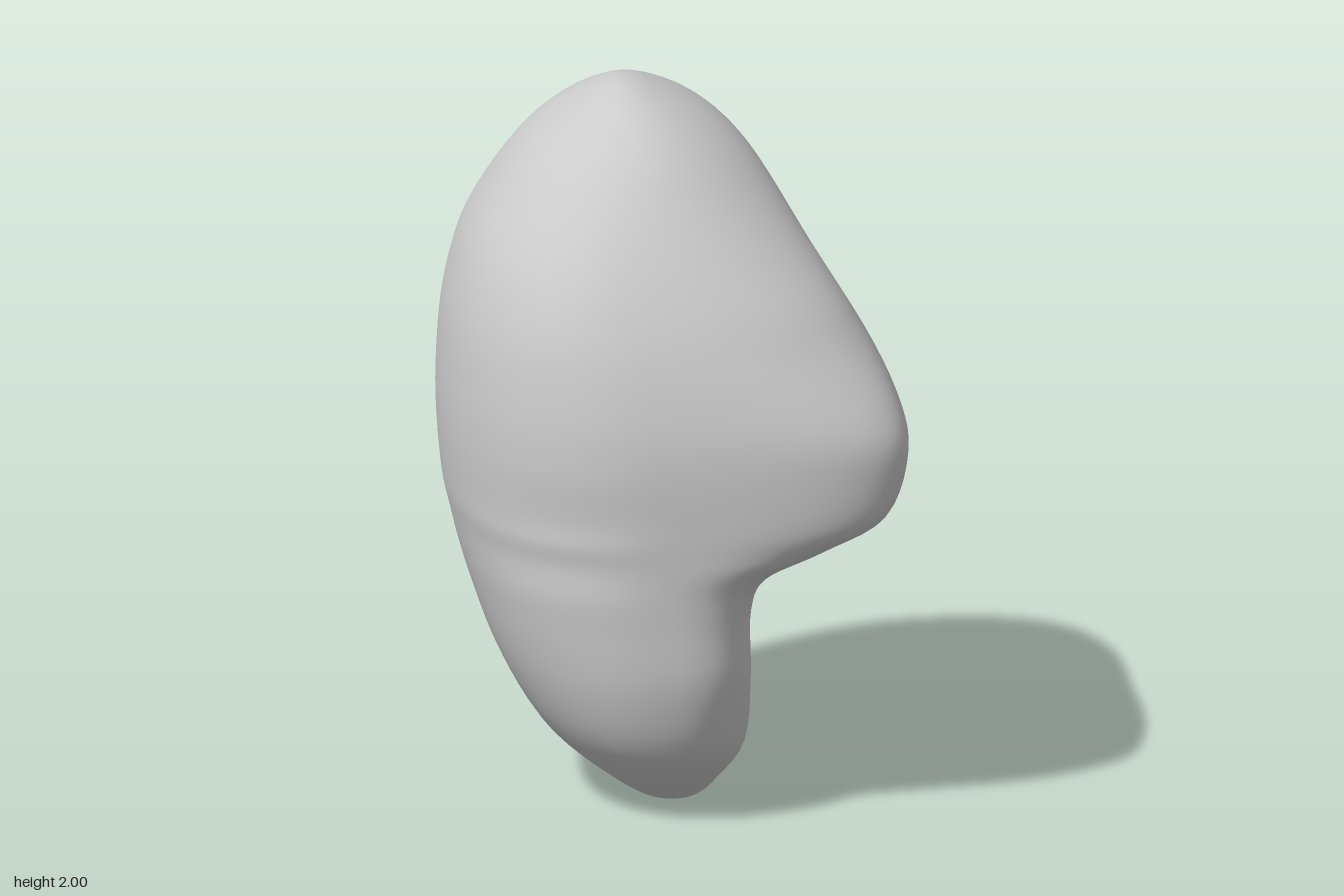
import * as THREE from 'three';
import { mergeVertices } from 'three/addons/utils/BufferGeometryUtils.js';

// Extents of each horizontal section: y, min x, max x, min z, max z
const EXTENTS = [
  [0, 0.02, 0.02, 0.18, 0.18],
  [0.012, -0.06, 0.07, 0.0, 0.29],
  [0.05, -0.16, 0.125, -0.2, 0.4],
  [0.2, -0.35, 0.2, -0.45, 0.57],
  [0.4, -0.48, 0.212, -0.545, 0.645],
  [0.6, -0.56, 0.212, -0.6, 0.66],
  [0.71, -0.595, 0.26, -0.62, 0.665],
  [0.79, -0.615, 0.43, -0.63, 0.67],
  [0.88, -0.635, 0.59, -0.645, 0.675],
  [1.05, -0.65, 0.65, -0.665, 0.68],
  [1.2, -0.65, 0.62, -0.68, 0.665],
  [1.4, -0.63, 0.51, -0.67, 0.61],
  [1.6, -0.57, 0.37, -0.62, 0.51],
  [1.8, -0.44, 0.225, -0.5, 0.36],
  [1.91, -0.32, 0.1, -0.38, 0.23],
  [1.98, -0.2, -0.04, -0.2, 0.08],
  [2, -0.13, -0.13, -0.06, -0.06],
];

// Where each extreme sits, as a fraction of the section, and its roundness:
// y, x of back, z of left edge, z of right edge, x of front, back-right power, front-right power
const SHAPE = [
  [0, 0.5, 0.5, 0.55, 0.5, 2, 2],
  [0.2, 0.45, 0.54, 0.73, 0.6, 2, 2.4],
  [0.5, 0.47, 0.51, 0.78, 0.65, 2, 2.8],
  [0.71, 0.51, 0.48, 0.82, 0.63, 1.4, 2.8],
  [0.85, 0.43, 0.47, 0.83, 0.5, 1.07, 2.8],
  [1.05, 0.42, 0.46, 0.81, 0.46, 1.18, 2.8],
  [1.4, 0.45, 0.47, 0.72, 0.45, 1.25, 2.3],
  [2, 0.5, 0.5, 0.5, 0.5, 2, 2],
];

const lerp = THREE.MathUtils.lerp;

// Smooth interpolation between section rows; y turns around at the poles
function extentsAt(t) {
  const last = EXTENTS.length - 1;
  const i = Math.min(Math.floor(t), last - 1);
  const f = t - i;
  const [p1, p2] = [EXTENTS[i], EXTENTS[i + 1]];
  return p1.map((b, k) => {
    const c = p2[k];
    const a = i > 0 ? EXTENTS[i - 1][k] : k ? 2 * b - c : c;
    const d = i + 2 <= last ? EXTENTS[i + 2][k] : k ? 2 * c - b : b;
    const m1 = (c - a) / 2, m2 = (d - b) / 2;
    return b + f * (m1 + f * (3 * (c - b) - 2 * m1 - m2 + f * (2 * (b - c) + m1 + m2)));
  });
}

function shapeAt(y) {
  let i = 0;
  while (i < SHAPE.length - 2 && y > SHAPE[i + 1][0]) i++;
  const f = THREE.MathUtils.smoothstep(y, SHAPE[i][0], SHAPE[i + 1][0]);
  return SHAPE[i].map((v, k) => lerp(v, SHAPE[i + 1][k], f));
}

// One closed section made of four superellipse quarters
function section(t, steps) {
  const [y, x0, x1, z0, z1] = extentsAt(t);
  const [, fb, fl, fr, ff, nBack, nFront] = shapeAt(y);
  const left = [x0, lerp(z0, z1, fl)], right = [x1, lerp(z0, z1, fr)];
  const back = [lerp(x0, x1, fb), z0], front = [lerp(x0, x1, ff), z1];
  const points = [];
  const quarter = (side, end, n, reverse) => {
    for (let i = 0; i < steps; i++) {
      const a = (reverse ? 1 - i / steps : i / steps) * Math.PI / 2;
      const u = Math.pow(Math.max(Math.cos(a), 0), 2 / n);
      const v = Math.pow(Math.sin(a), 2 / n);
      points.push(lerp(end[0], side[0], u), y, lerp(side[1], end[1], v));
    }
  };
  quarter(left, back, 2.1, false);
  quarter(right, back, nBack, true);
  quarter(right, front, nFront, false);
  quarter(left, front, 2.15, true);
  return points;
}

export function createModel() {
  const steps = 16, ring = steps * 4, rows = (EXTENTS.length - 1) * 5;
  const positions = [], indices = [];
  for (let r = 0; r <= rows; r++) positions.push(...section(r / 5, steps));
  for (let r = 0; r < rows; r++) {
    for (let i = 0; i < ring; i++) {
      const a = r * ring + i, b = r * ring + (i + 1) % ring;
      indices.push(a, a + ring, b, b, a + ring, b + ring);
    }
  }
  let geometry = new THREE.BufferGeometry();
  geometry.setAttribute('position', new THREE.Float32BufferAttribute(positions, 3));
  geometry.setIndex(indices);
  geometry = mergeVertices(geometry, 1e-5);
  geometry.computeVertexNormals();

  // Smooth lobed body with a side bulge over a notch
  const body = new THREE.Mesh(geometry, new THREE.MeshStandardMaterial({ color: 0xcccccc }));
  body.name = 'lobedBody';
  const group = new THREE.Group();
  group.name = 'lobedForm';
  group.add(body);
  return group;
}
